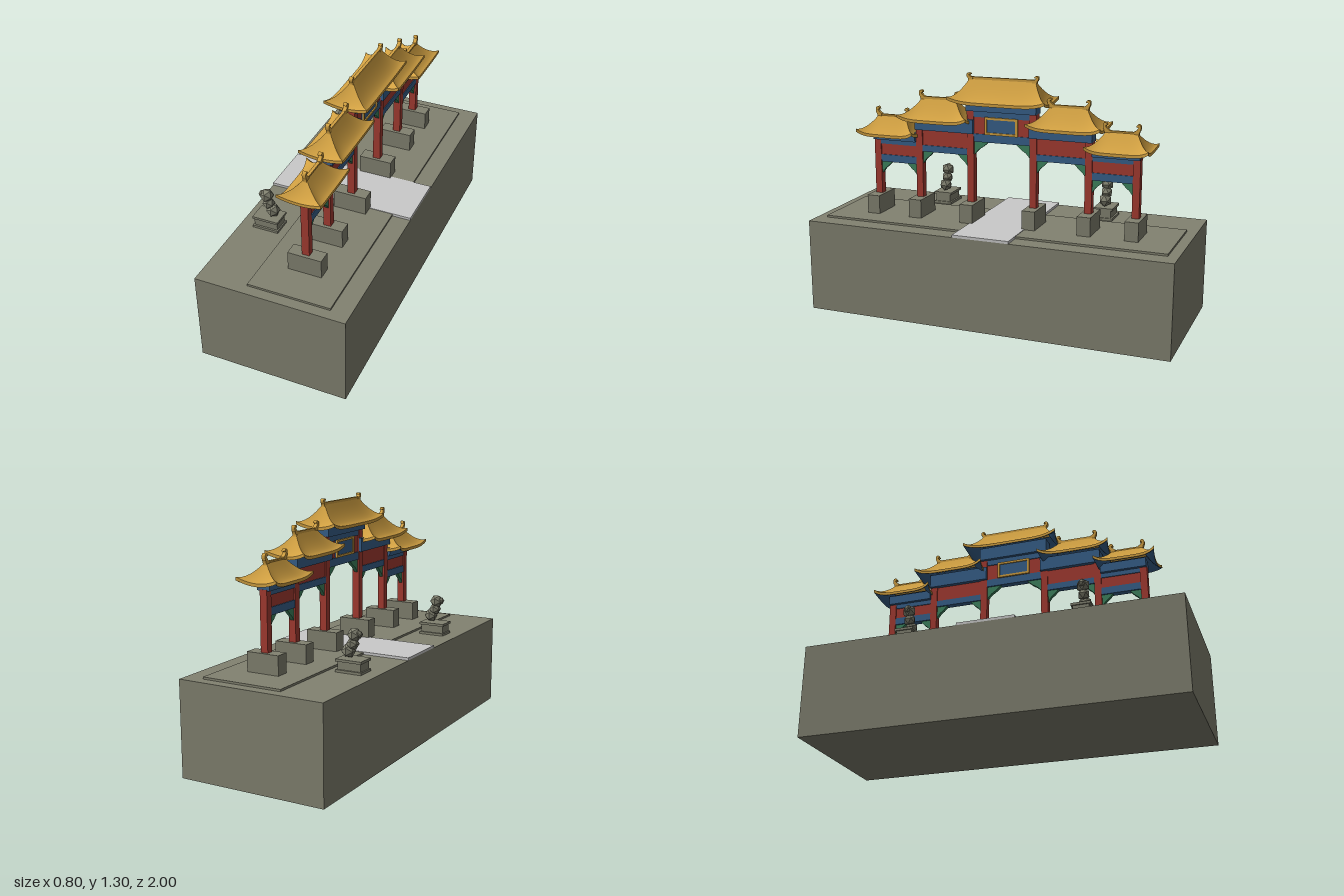
import * as THREE from 'three';

const mat = (name, color, side = THREE.FrontSide) => {
  const m = new THREE.MeshStandardMaterial({ color, side });
  m.name = name;
  return m;
};

export function createModel() {
  const root = new THREE.Group();
  root.name = 'memorialGateway';
  const stone = mat('stone', 0x828271);
  const paving = mat('paving', 0xcacaca);
  const red = mat('redPaint', 0xa63c32);
  const blue = mat('bluePaint', 0x38618c);
  const green = mat('greenPaint', 0x3f8560);
  const gold = mat('goldTile', 0xd2a142, THREE.DoubleSide);
  const soffitBlue = blue;
  const GX = 0.08; // gate line in x

  const add = (name, geo, m, x = 0, y = 0, z = 0, parent = root) => {
    const mesh = new THREE.Mesh(geo, m);
    mesh.name = name;
    mesh.position.set(x, y, z);
    parent.add(mesh);
    return mesh;
  };
  // box given by x centre, x width, y range and z range
  const block = (name, m, x, w, y0, y1, z0, z1) =>
    add(name, new THREE.BoxGeometry(w, y1 - y0, Math.abs(z1 - z0)), m, x, (y0 + y1) / 2, (z0 + z1) / 2);

  // grid patch from a function p(u, v) with u, v in 0..1
  function patch(fn, nu, nv) {
    const pos = [], idx = [];
    for (let j = 0; j <= nv; j++)
      for (let i = 0; i <= nu; i++) pos.push(...fn(i / nu, j / nv));
    for (let j = 0; j < nv; j++)
      for (let i = 0; i < nu; i++) {
        const a = j * (nu + 1) + i, b = a + 1, c = a + nu + 1, d = c + 1;
        idx.push(a, c, b, b, c, d);
      }
    const g = new THREE.BufferGeometry();
    g.setAttribute('position', new THREE.Float32BufferAttribute(pos, 3));
    g.setIndex(idx);
    g.computeVertexNormals();
    return g;
  }

  // curled ridge-end ornament, outward along +x of the shape
  function finialGeometry(h) {
    const s = new THREE.Shape();
    s.moveTo(-0.02, 0);
    s.lineTo(0.006, 0);
    s.quadraticCurveTo(0.004, h * 0.3, 0.013, h * 0.5);
    s.quadraticCurveTo(0.02, h * 0.95, 0.004, h);
    s.quadraticCurveTo(-0.008, h, -0.008, h * 0.78);
    s.lineTo(0.002, h * 0.74);
    s.quadraticCurveTo(-0.008, h * 0.45, -0.02, h * 0.4);
    const g = new THREE.ExtrudeGeometry(s, { depth: 0.02, bevelEnabled: false, curveSegments: 5 });
    g.translate(0, 0, -0.01);
    return g;
  }

  // hipped roof with upswept corners
  function roof(name, zc, eaveY, rise, ridgeHalf, eaveHalf, ridgeTop, finialTop) {
    const g = new THREE.Group();
    g.name = name;
    g.position.set(GX, eaveY, zc);
    root.add(g);
    const HX = 0.115, thick = 0.016;
    const y = (t, c) => thick + rise * Math.pow(1 - t, 1.5) + 0.026 * c * t * t;
    const longSide = (dir, drop) => (u, t) => {
      const s = u * 2 - 1, c = Math.pow(Math.abs(s), 5);
      const x = 0.008 + (HX - 0.008) * t - 0.012 * t * (1 - c);
      return [dir * x, y(t, c) - drop, dir * -s * (ridgeHalf + (eaveHalf - ridgeHalf) * t)];
    };
    const endSide = (dir, drop) => (u, t) => {
      const s = u * 2 - 1, c = s * s;
      const z = ridgeHalf + (eaveHalf - ridgeHalf) * t - 0.012 * t * (1 - c);
      return [dir * s * (0.008 + (HX - 0.008) * t), y(t, c) - drop, dir * z];
    };
    for (const dir of [1, -1])
      for (const [side, nu] of [[longSide, 24], [endSide, 10]]) {
        const top = side(dir, 0), low = side(dir, thick);
        add('roofTiles', patch(top, nu, 8), gold, 0, 0, 0, g);
        add('eaveEdge', patch((u, v) => (v < 0.5 ? top(u, 1) : low(u, 1)), nu, 1), gold, 0, 0, 0, g);
        add('soffit', patch((u, v) => low(1 - u, 0.2 + 0.8 * v), nu, 6), soffitBlue, 0, 0, 0, g);
      }
    const ridgeH = ridgeTop - eaveY - rise + 0.005;
    add('ridge', new THREE.BoxGeometry(0.016, ridgeH, ridgeHalf * 2), gold,
      0, ridgeTop - eaveY - ridgeH / 2, 0, g);
    const base = ridgeTop - eaveY - 0.022;
    for (const dir of [1, -1]) {
      const f = add('ridgeFinial', finialGeometry(finialTop - eaveY - base), gold, 0, base, dir * ridgeHalf, g);
      f.rotation.y = -dir * Math.PI / 2;
    }
  }

  // triangular bracket under a beam: corner at z, pointing along dir
  function bracket(z, y, dir, len, h) {
    const s = new THREE.Shape();
    s.moveTo(0, 0);
    s.lineTo(0, -h);
    s.lineTo(len * 0.3, -h * 0.62);
    s.lineTo(len * 0.62, -h * 0.38);
    s.lineTo(len, 0);
    const geo = new THREE.ExtrudeGeometry(s, { depth: 0.02, bevelEnabled: false });
    geo.translate(0, 0, -0.01);
    add('bracket', geo, green, GX, y, z).rotation.y = -dir * Math.PI / 2;
  }

  // ground block, low terrace and paved way
  block('base', stone, 0, 0.8, 0, 0.5, -1, 1);
  block('terrace', stone, 0.08, 0.44, 0.5, 0.511, -0.945, 0.945);
  block('pavedWay', paving, 0, 0.8, 0.5, 0.514, -0.155, 0.155);

  // columns on stone pedestals
  for (const m of [1, -1])
    for (const [z, top] of [[0.176, 1.11], [0.476, 0.99], [0.727, 0.92]]) {
      block('columnPedestal', stone, GX, 0.18, 0.505, 0.612, m * z - 0.036, m * z + 0.036);
      block('column', red, GX, 0.04, 0.61, top, m * z - 0.019, m * z + 0.019);
    }

  // side bays: upper box, beam, red panel, lower beam, brackets, roof
  const bays = [
    { z0: 0.195, z1: 0.457, box: [0.985, 1.06, 0.157, 0.495], panel: [0.9, 0.985], low: 0.865,
      roof: [0.362, 1.035, 0.1, 0.1, 0.198, 1.164, 1.198] },
    { z0: 0.495, z1: 0.708, box: [0.915, 0.965, 0.495, 0.745], panel: [0.83, 0.89], low: 0.79,
      roof: [0.641, 0.94, 0.088, 0.083, 0.166, 1.052, 1.093] },
  ];
  for (const m of [1, -1])
    for (const b of bays) {
      block('upperBox', blue, GX, 0.07, b.box[0], b.box[1], m * b.box[2], m * b.box[3]);
      block('upperBeam', blue, GX, 0.036, b.panel[1], b.box[0] + 0.005, m * b.z0, m * b.z1);
      block('redPanel', red, GX, 0.026, b.panel[0], b.panel[1], m * b.z0, m * b.z1);
      block('lowerBeam', blue, GX, 0.036, b.low, b.panel[0], m * b.z0, m * b.z1);
      bracket(m * b.z0, b.low, m, 0.06, 0.065);
      bracket(m * b.z1, b.low, -m, 0.06, 0.065);
      const [zc, ...rest] = b.roof;
      roof('sideRoof', m * zc, ...rest);
    }

  // central bay
  block('centreUpperBox', blue, GX, 0.07, 1.107, 1.18, -0.195, 0.195);
  block('centreUpperBeam', blue, GX, 0.036, 1.075, 1.107, -0.157, 0.157);
  block('centreRedPanel', red, GX, 0.026, 0.985, 1.075, -0.157, 0.157);
  block('centreLowerBeam', blue, GX, 0.036, 0.942, 0.985, -0.157, 0.157);
  block('centrePlaque', blue, GX, 0.044, 0.988, 1.076, -0.09, 0.09);
  for (const d of [1, -1]) {
    bracket(d * 0.157, 0.942, -d, 0.08, 0.07);
    const x = GX + d * 0.024;
    for (const [y0, y1] of [[0.985, 0.997], [1.066, 1.078]]) block('plaqueFrame', gold, x, 0.008, y0, y1, -0.092, 0.092);
    for (const s of [1, -1]) block('plaqueFrame', gold, x, 0.008, 0.997, 1.066, s * 0.08, s * 0.092);
  }
  roof('centreRoof', 0, 1.147, 0.108, 0.184, 0.268, 1.284, 1.304);

  // guardian statues, facing -x
  for (const m of [1, -1]) {
    const z = m * 0.475;
    block('statuePlinthFoot', stone, -0.257, 0.143, 0.5, 0.513, z - 0.052, z + 0.052);
    block('statuePlinth', stone, -0.257, 0.13, 0.513, 0.554, z - 0.042, z + 0.042);
    block('statuePlinthCap', stone, -0.257, 0.143, 0.554, 0.567, z - 0.052, z + 0.052);
    const lumps = [['statueBody', -0.232, 0.602, 0.037], ['statueChest', -0.256, 0.64, 0.033],
      ['statueHead', -0.265, 0.686, 0.037], ['statueMuzzle', -0.288, 0.69, 0.022]];
    for (const [name, x, y, r] of lumps) add(name, new THREE.IcosahedronGeometry(r, 0), stone, x, y, z);
  }
  return root;
}
